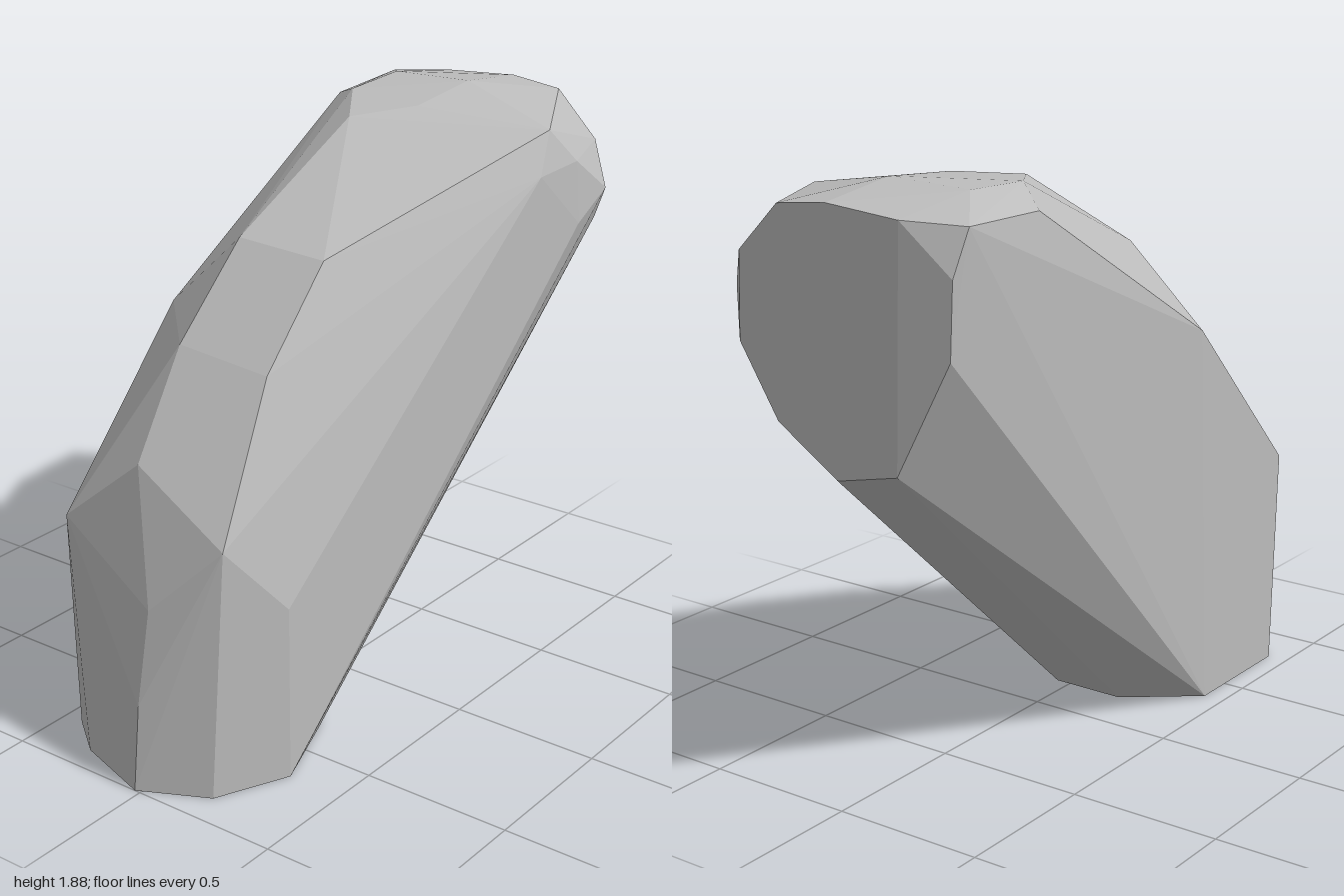
import * as THREE from 'three';
import { ConvexGeometry } from 'three/addons/geometries/ConvexGeometry.js';

// Corner points of the faceted bent hull, grouped by region
const corners = {
  foot: [
    [-1, 0, -0.02], [-0.89, 0, 0.2], [-0.65, 0, 0.31], [-0.36, 0, 0.2], [-0.19, 0, 0.05],
    [-0.19, 0, -0.2], [-0.37, 0, -0.43], [-0.8, 0, -0.43], [-0.91, 0, -0.29],
  ],
  endCap: [
    [1, 1.4, 0.34], [1, 1.18, 0.2], [1, 1.04, -0.02], [1, 1.09, -0.24], [0.97, 1.44, -0.41],
    [0.97, 1.67, -0.42], [0.92, 1.81, -0.44], [1, 1.82, -0.26], [1, 1.84, 0], [1, 1.82, 0.18], [1, 1.67, 0.33],
  ],
  outerBend: [
    [-0.97, 0.28, -0.02], [-0.91, 0.58, -0.02], [-0.86, 0.6, -0.25], [-0.79, 0.98, -0.15], [-0.82, 0.8, 0.2],
    [-0.54, 1.28, -0.19], [-0.53, 1.25, 0.14], [-0.26, 1.55, -0.18], [-0.24, 1.53, 0.13],
  ],
  top: [
    [0.25, 1.83, -0.14], [0.43, 1.85, 0], [0.47, 1.855, -0.29], [0.72, 1.875, 0], [0.72, 1.865, -0.29],
  ],
  sides: [
    [0.59, 1.8, 0.4], [0.5, 1.67, 0.43], [0.7, 1.68, 0.44], [0.71, 1.47, 0.45], [0.91, 1.54, 0.43],
    [-0.65, 0.58, 0.31], [-0.81, 0.74, -0.44], [-0.27, 1.29, -0.45], [0.58, 1.8, -0.425],
  ],
};

export function createModel() {
  const group = new THREE.Group();
  group.name = 'bentBlock';
  const grey = new THREE.MeshStandardMaterial({ color: 0xbcbcbc });
  grey.name = 'grey';

  // One closed hull with flat facets
  const points = Object.values(corners).flat().map((p) => new THREE.Vector3(...p));
  const hull = new THREE.Mesh(new ConvexGeometry(points), grey);
  hull.name = 'facetedHull';
  group.add(hull);
  return group;
}
